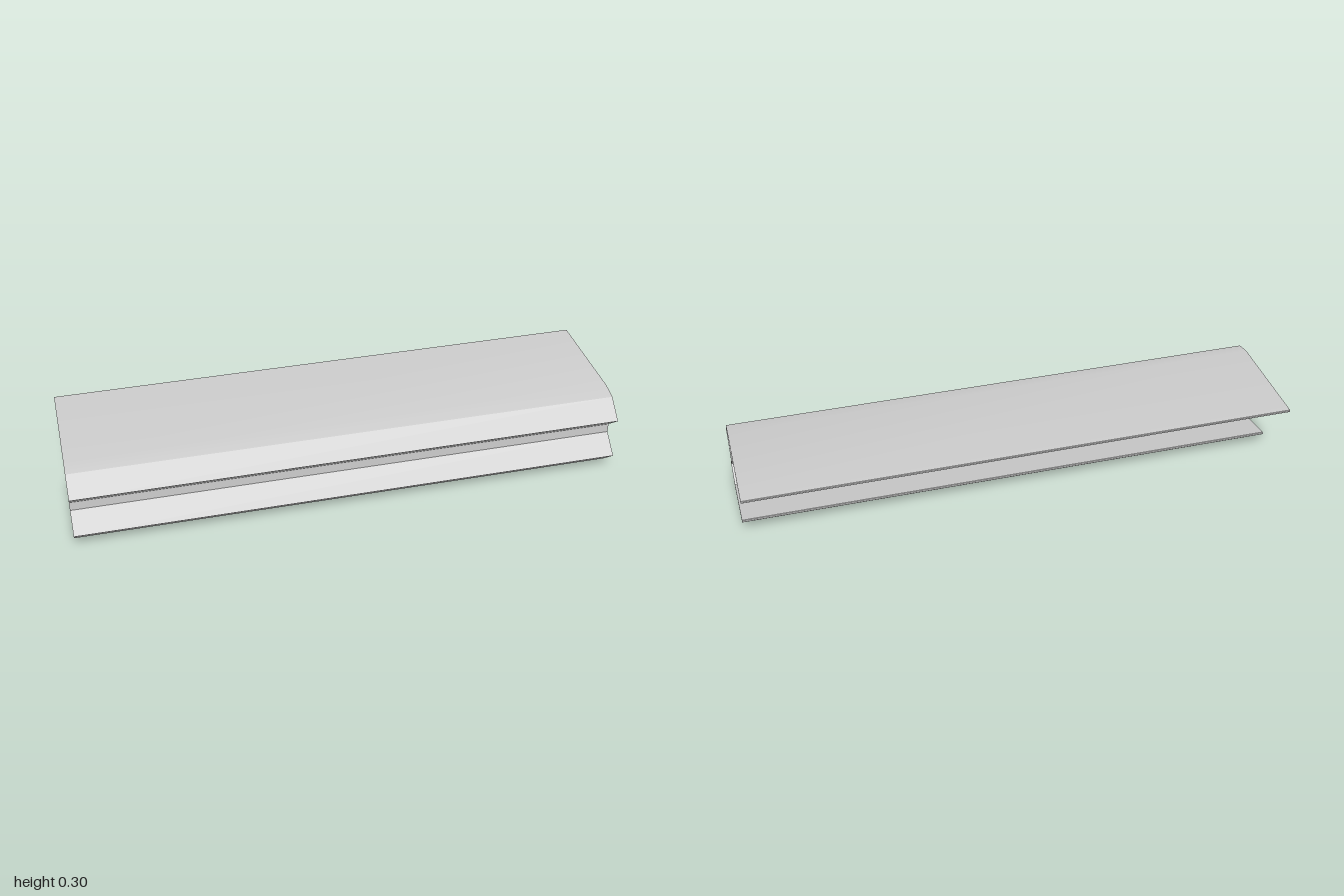
import * as THREE from 'three';
import { toCreasedNormals } from 'three/addons/utils/BufferGeometryUtils.js';

const LENGTH = 2, HALF = 0.0046, CHAMFER = 0.0018;

// Centre line of the bent sheet as (z, y), from the top flange to the lower lip
const centreLine = [
  [-0.268, 0.2914], [0.139, 0.2914], [0.197, 0.279], [0.263, 0.222],
  [0.1938, 0.1625], [0.1938, 0.1235], [0.263, 0.0645], [0.197, 0.0055], [-0.084, 0.0585],
].map(([z, y]) => new THREE.Vector2(-z, y));

// Closed sheet outline: mitred offsets on both sides, chamfered free ends
function sheetShape(points, half) {
  const last = points.length - 1;
  const dir = i => points[i + 1].clone().sub(points[i]).normalize();
  const normal = d => new THREE.Vector2(-d.y, d.x);
  const left = [], right = [];
  const add = (p, offset) => {
    left.push(p.clone().add(offset));
    right.push(p.clone().sub(offset));
  };
  points.forEach((p, i) => {
    if (i === 0 || i === last) {
      const d = dir(i ? last - 1 : 0), n = normal(d);
      const inner = p.clone().addScaledVector(d, i ? -CHAMFER : CHAMFER);
      const corners = [[p, half - CHAMFER], [inner, half]];
      if (i) corners.reverse();
      corners.forEach(([q, w]) => add(q, n.clone().multiplyScalar(w)));
    } else {
      const n = normal(dir(i));
      const miter = normal(dir(i - 1)).add(n).normalize();
      add(p, miter.clone().multiplyScalar(half / miter.dot(n)));
    }
  });
  return new THREE.Shape([...left, ...right.reverse()]);
}

export function createModel() {
  const group = new THREE.Group();
  group.name = 'foldedProfile';

  // Extrude the section and turn its length along x
  const extruded = new THREE.ExtrudeGeometry(sheetShape(centreLine, HALF), {
    depth: LENGTH, bevelEnabled: false,
  });
  extruded.translate(0, 0, -LENGTH / 2).rotateY(Math.PI / 2);
  const geometry = toCreasedNormals(extruded, THREE.MathUtils.degToRad(20));

  const sheet = new THREE.Mesh(geometry, new THREE.MeshStandardMaterial({ color: 0xcccccc }));
  sheet.name = 'bentSheet';
  group.add(sheet);
  return group;
}
